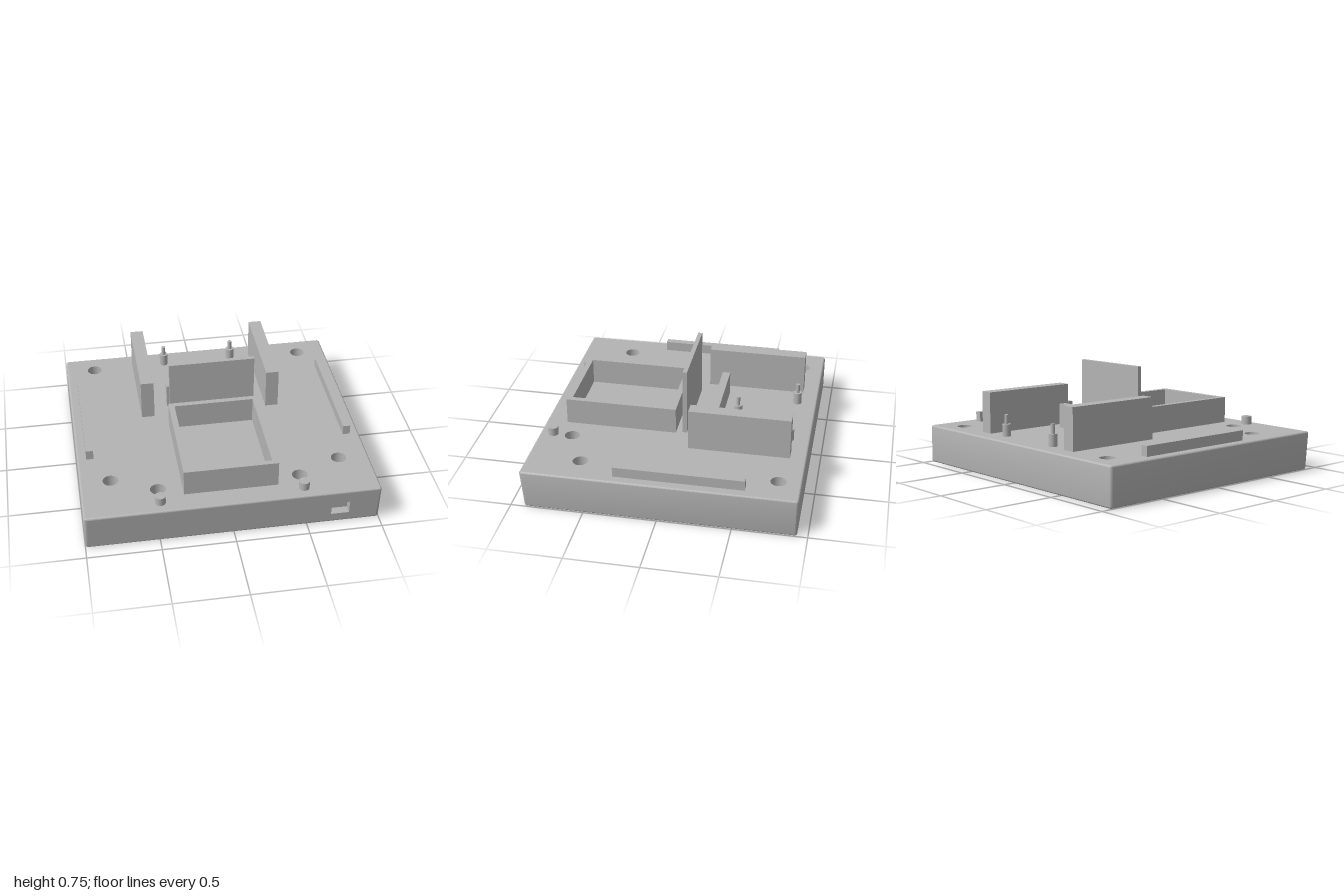
import * as THREE from 'three';
import { toCreasedNormals } from 'three/addons/utils/BufferGeometryUtils.js';

const W = 1, D = 0.93, H = 0.27;      // base half width, half depth, height
const CORNER = 0.02, BEVEL = 0.015;   // vertical corner radius, edge rounding
const HOLE_R = 0.053;
const HOLES = [[0.79, -0.775], [0.79, 0.56], [0.485, 0.7]].flatMap(([x, z]) => [[x, z], [-x, z]]);
const POCKET = { x: 0.725, y: 0.125, w: 0.125, h: 0.1, depth: 0.06 };

// Rounded rectangle outline as [x, z] points, starting at the front left corner
function outline(inset) {
  const r = CORNER - inset, points = [];
  const corners = [[-1, 1, Math.PI], [1, 1, 1.5 * Math.PI], [1, -1, 0], [-1, -1, 0.5 * Math.PI]];
  for (const [sx, sz, start] of corners) {
    for (let i = 0; i <= 4; i++) {
      const a = start + (i / 4) * Math.PI / 2;
      points.push([sx * (W - CORNER) + r * Math.cos(a), sz * (D - CORNER) - r * Math.sin(a)]);
    }
  }
  return points;
}

// The front face leans inwards towards the bottom
function lean(geometry) {
  const p = geometry.attributes.position;
  for (let i = 0; i < p.count; i++) {
    if (p.getZ(i) > 0.85) p.setZ(i, p.getZ(i) - 0.025 * (1 - p.getY(i) / H));
  }
  geometry.computeVertexNormals();
  return geometry;
}

function rectangle(Type, x0, y0, x1, y1) {
  return new Type([[x0, y0], [x1, y0], [x1, y1], [x0, y1]].map(([x, y]) => new THREE.Vector2(x, y)));
}

// Outer walls with rounded edges; the straight front panel is left open
function wallGeometry() {
  const profile = [];
  for (let i = 0; i <= 4; i++) {
    const a = (i / 4) * Math.PI / 2;
    profile.push([BEVEL * (1 - Math.sin(a)), BEVEL * (1 - Math.cos(a))]);
  }
  profile.push(...profile.slice().reverse().map(([inset, y]) => [inset, H - y]));
  const positions = [], index = [];
  const n = outline(0).length;
  profile.forEach(([inset, y], k) => {
    for (const [x, z] of outline(inset)) positions.push(x, y, z);
    if (k === 0) return;
    for (let i = 0; i < n; i++) {
      if (k === 5 && i === 4) continue;
      const a = (k - 1) * n + i, b = (k - 1) * n + (i + 1) % n;
      index.push(a, b, b + n, a, b + n, a + n);
    }
  });
  const geometry = new THREE.BufferGeometry();
  geometry.setAttribute('position', new THREE.Float32BufferAttribute(positions, 3));
  geometry.setIndex(index);
  return toCreasedNormals(lean(geometry), 0.3);
}

// Flat top or bottom with the through holes; side is 1 for top, -1 for bottom
function faceGeometry(side) {
  const shape = new THREE.Shape(outline(BEVEL).map(([x, z]) => new THREE.Vector2(x, -side * z)));
  for (const [x, z] of HOLES) {
    shape.holes.push(new THREE.Path().absarc(x, -side * z, HOLE_R, 0, Math.PI * 2, true));
  }
  const geometry = new THREE.ShapeGeometry(shape, 16);
  geometry.rotateX(-side * Math.PI / 2).translate(0, side > 0 ? H : 0, 0);
  return lean(geometry);
}

export function createModel() {
  const model = new THREE.Group();
  const grey = new THREE.MeshStandardMaterial({ color: 0xb4b4b4, side: THREE.DoubleSide });

  function add(name, geometry, x = 0, y = 0, z = 0, parent = model) {
    const mesh = new THREE.Mesh(geometry, grey);
    mesh.name = name;
    mesh.position.set(x, y, z);
    parent.add(mesh);
    return mesh;
  }
  // Block standing on the base, given by its x and z extents and its top
  function block(name, x0, x1, z0, z1, top) {
    add(name, new THREE.BoxGeometry(x1 - x0, top - H, z1 - z0), (x0 + x1) / 2, (H + top) / 2, (z0 + z1) / 2);
  }
  function post(name, radius, bottom, top, x, z) {
    add(name, new THREE.CylinderGeometry(radius, radius, top - bottom, 24), x, (bottom + top) / 2, z);
  }

  // Base slab
  const base = new THREE.Group();
  base.name = 'base';
  model.add(base);
  add('baseWalls', wallGeometry(), 0, 0, 0, base);
  add('baseTop', faceGeometry(1), 0, 0, 0, base);
  add('baseBottom', faceGeometry(-1), 0, 0, 0, base);
  for (const [x, z] of HOLES) {
    add('holeWall', new THREE.CylinderGeometry(HOLE_R, HOLE_R, H, 32, 1, true), x, H / 2, z, base);
  }

  // Front panel with its square pocket
  const { x: px, y: py, w, h, depth } = POCKET;
  const panel = rectangle(THREE.Shape, -W + CORNER, BEVEL, W - CORNER, H - BEVEL);
  panel.holes.push(rectangle(THREE.Path, px - w / 2, py - h / 2, px + w / 2, py + h / 2));
  add('frontPanel', lean(new THREE.ShapeGeometry(panel).translate(0, 0, D)), 0, 0, 0, base);
  const pocket = new THREE.BoxGeometry(w, h, depth).translate(px, py, D - depth / 2);
  const faces = Array.from(pocket.index.array);
  faces.splice(24, 6); // open towards the front
  pocket.setIndex(faces);
  pocket.clearGroups();
  add('frontPocket', lean(pocket), 0, 0, 0, base);

  // Open tray
  const tray = rectangle(THREE.Shape, -0.32, -0.78, 0.32, 0);
  tray.holes.push(rectangle(THREE.Path, -0.28, -0.743, 0.28, -0.038));
  add('tray', new THREE.ExtrudeGeometry(tray, { depth: 0.455 - H, bevelEnabled: false }).rotateX(-Math.PI / 2), 0, H, 0);

  // Upright panel and low bar behind it
  block('uprightPanel', -0.303, 0.303, -0.075, -0.045, 0.745);
  block('crossBar', -0.303, 0.303, -0.285, -0.23, 0.44);

  // Mirrored walls, rails and pegs
  for (const s of [-1, 1]) {
    const mid = (a, b) => [Math.min(s * a, s * b), Math.max(s * a, s * b)];
    block('sideWall', ...mid(0.408, 0.5), -0.817, -0.12, 0.56);
    block('sideRail', ...mid(0.884, 0.935), -0.573, 0.307, 0.34);
    post('frontPeg', 0.036, H, 0.328, s * 0.485, 0.836);
  }

  // Stepped locating pins
  for (const [x, z] of [[-0.257, -0.788], [0.257, -0.788], [0, -0.39]]) {
    post('pinBase', 0.03, H, 0.355, x, z);
    post('pinTip', 0.014, 0.355, 0.42, x, z);
  }
  return model;
}
